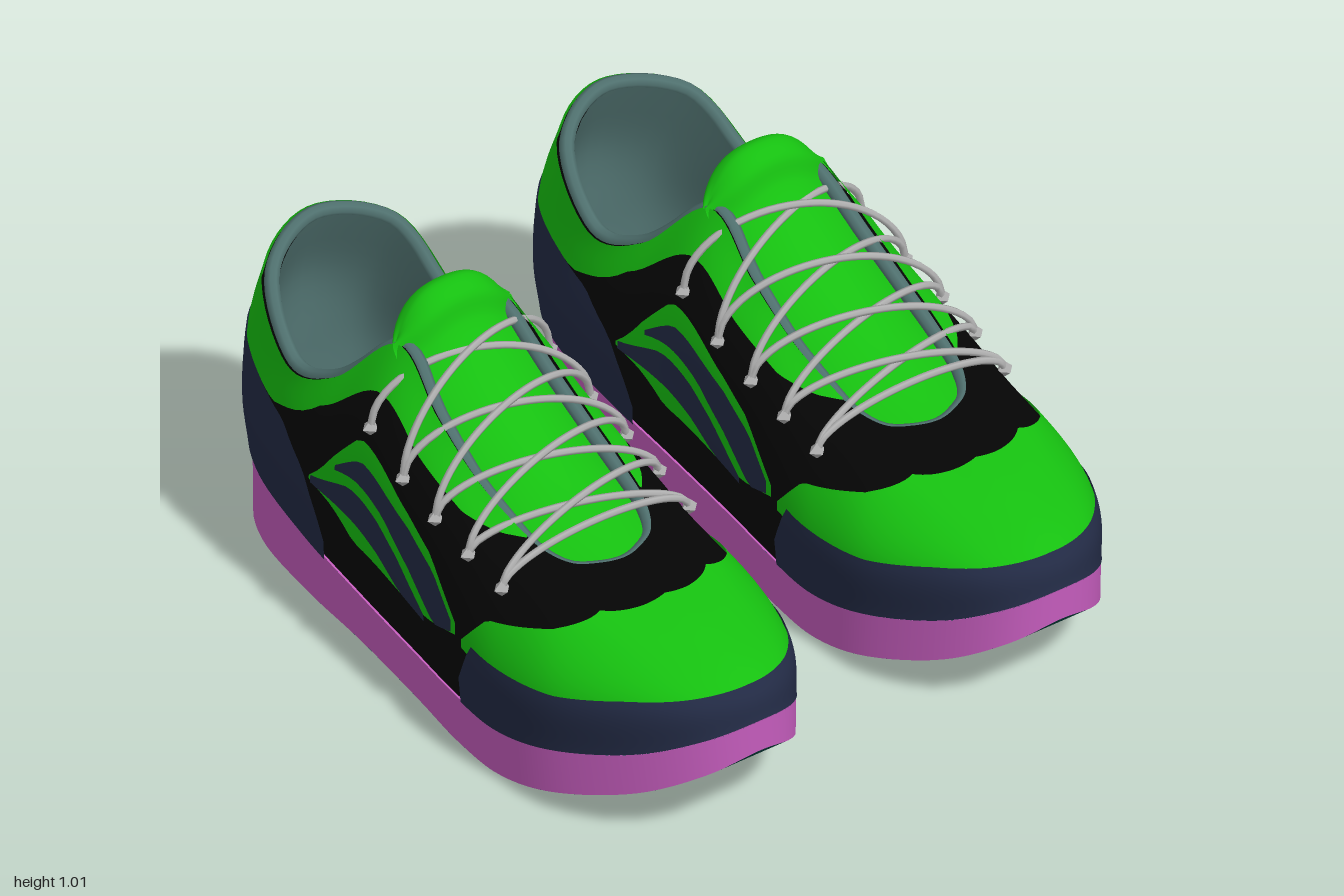
import * as THREE from 'three';

const GREEN = 0x16c010, NAVY = 0x222a44, BLACK = 0x050505, PINK = 0xc45cbc;
const TEAL = 0x0a4644, LINING = 0x4f706e, LACE = 0xb0b0b0;

// Rings of the upper, bottom to rim. Stations run from toe tip to heel: [z, half width, y]
const RINGS = [
  [[.99, 0, .36], [.945, .135, .33], [.81, .245, .265], [.6, .33, .2], [.4, .348, .155], [.2, .33, .145],
    [0, .31, .155], [-.25, .302, .19], [-.5, .295, .23], [-.75, .262, .265], [-.91, .17, .28], [-.96, 0, .285]],
  [[.965, 0, .43], [.915, .14, .42], [.79, .25, .4], [.6, .335, .37], [.39, .356, .35], [.19, .338, .36],
    [-.02, .315, .38], [-.25, .303, .42], [-.5, .3, .39], [-.76, .27, .41], [-.925, .18, .43], [-.975, 0, .44]],
  [[.78, 0, .51], [.75, .1, .505], [.66, .19, .505], [.5, .262, .515], [.33, .288, .53], [.15, .292, .58],
    [-.04, .288, .625], [-.25, .272, .7], [-.48, .285, .56], [-.7, .265, .57], [-.9, .19, .62], [-.985, 0, .65]],
  [[.46, 0, .575], [.44, .07, .575], [.4, .13, .58], [.32, .17, .605], [.2, .185, .65], [.08, .19, .7],
    [-.08, .185, .79], [-.26, .172, .9], [-.44, .24, .725], [-.62, .265, .67], [-.81, .21, .82], [-.91, 0, .87]],
];
const SOLE_BOTTOM_Y = [.27, .225, .145, .07, .02, .005, .02, .05, .06, .06, .055, .055];
const LAST = 11;

const centreX = z => .5 + .012 * z - .035 * z * z;

// Closed loop through the stations on both sides
function loop(stations) {
  const at = s => ([z, w, y]) => new THREE.Vector3(centreX(z) + s * w, y, z);
  return new THREE.CatmullRomCurve3(
    [...stations.map(at(1)), ...stations.slice(1, LAST).reverse().map(at(-1))], true, 'catmullrom', .5);
}
const LOOPS = RINGS.map(loop);
const SOLE_TOP = loop(RINGS[0].map(([z, w, y]) => [z + .008, w * 1.02, y]));
const SOLE_BOTTOM = loop(RINGS[0].map(([z, w], i) => [z + .008, w * 1.01, SOLE_BOTTOM_Y[i]]));

// Point on the upper: t around the loop, v from sole (0) to rim (1)
const skin = (t, v) =>
  new THREE.CatmullRomCurve3(LOOPS.map(c => c.getPoint(((t % 1) + 1) % 1))).getPoint(v);

function raised(t, v, offset) {
  const p = skin(t, v);
  if (!offset) return p;
  const e = .004;
  const du = skin(t + e, v).sub(skin(t - e, v));
  const dv = skin(t, Math.min(1, v + e)).sub(skin(t, Math.max(0, v - e)));
  return p.addScaledVector(du.cross(dv).normalize(), offset);
}

// Rectangular sheet of points f(u, v)
function grid(nu, nv, f) {
  const pos = [], idx = [];
  for (let i = 0; i <= nu; i++)
    for (let j = 0; j <= nv; j++) pos.push(...f(i / nu, j / nv).toArray());
  for (let i = 0; i < nu; i++)
    for (let j = 0; j < nv; j++) {
      const a = i * (nv + 1) + j, b = a + nv + 1;
      idx.push(a, b, b + 1, a, b + 1, a + 1);
    }
  const g = new THREE.BufferGeometry();
  g.setAttribute('position', new THREE.Float32BufferAttribute(pos, 3));
  g.setIndex(idx);
  g.computeVertexNormals();
  return g;
}

// Linear look-up in rows of [station, low v, high v]
function lookup(rows, k) {
  let i = 0;
  while (i < rows.length - 2 && k > rows[i + 1][0]) i++;
  const [a, b] = [rows[i], rows[i + 1]], f = (k - a[0]) / (b[0] - a[0]);
  return [1, 2].map(c => a[c] + (b[c] - a[c]) * f);
}

// Panel lying on one side of the upper
function panel(rows, side, offset) {
  const k0 = rows[0][0], k1 = rows[rows.length - 1][0];
  return grid(Math.ceil((k1 - k0) * 8), 12, (u, v) => {
    const k = side > 0 ? k0 + (k1 - k0) * u : k1 + (k0 - k1) * u;
    const [lo, hi] = lookup(rows, k);
    return raised(side > 0 ? k / 22 : 1 - k / 22, lo + (hi - lo) * v, offset);
  });
}

// Flat fill between the two sides of a loop
const fill = (curve, up) => grid(44, 8, (u, v) => {
  const t = u / 2, a = curve.getPoint(t), b = curve.getPoint((1 - t) % 1);
  return a.lerp(b, up ? v : 1 - v);
});

// Panel outlines; the navy ones lie on top of the green ones
const PANELS = [
  ['toeBox', GREEN, [[0, .3, .84], [2, .28, .79], [3, .28, .62], [4.2, .28, .5], [4.75, .28, .32]]],
  ['toeGuard', NAVY, [[0, 0, .38], [2, 0, .36], [3, 0, .33], [4.5, 0, .34], [4.85, 0, .12]]],
  ['sideWindow', GREEN, [[4.9, .31, .36], [5.5, .25, .52], [6, .22, .57], [7.1, .22, .61], [7.5, .32, .54], [7.9, .39, .41]]],
  ['upperStripe', NAVY, [[4.98, .31, .36], [5.4, .26, .47], [6, .38, .53], [6.5, .44, .53], [7, .46, .54], [7.45, .48, .5]]],
  ['lowerStripe', NAVY, [[5.65, .22, .25], [6.2, .23, .36], [6.6, .28, .4], [7.2, .32, .43], [7.85, .38, .42]]],
  ['collar', GREEN, [[3.3, .99, 1], [4, .9, 1], [5, .8, 1], [7.2, .8, 1], [8, .82, 1], [8.8, .6, 1], [11, .62, 1]]],
  ['heelCounter', NAVY, [[7.6, 0, .1], [7.75, 0, .24], [8, 0, .42], [8.5, 0, .59], [10, 0, .66], [11, 0, .66]]],
];

// Tongue centre line, folded over at the top: [z, y, half width, drop at the sides]
const TONGUE = [[.5, .55, .14, .04], [.3, .62, .19, .06], [.1, .71, .2, .09], [-.08, .82, .2, .1],
  [-.2, .93, .19, .1], [-.23, .995, .185, .07], [-.285, 1.02, .175, .05], [-.33, .99, .185, .06],
  [-.335, .93, .185, .07], [-.28, .86, .17, .08], [-.15, .77, .16, .08]];

function tongueGeometry() {
  const path = new THREE.CatmullRomCurve3(TONGUE.map(([z, y, w]) => new THREE.Vector3(w, y, z)));
  return grid(60, 20, (u, v) => {
    const p = path.getPoint(u), f = u * (TONGUE.length - 1);
    const i = Math.min(TONGUE.length - 2, Math.floor(f));
    const drop = THREE.MathUtils.lerp(TONGUE[i][3], TONGUE[i + 1][3], f - i);
    const s = 1 - 2 * v;
    // The padded tip closes towards its side edges
    const pinch = .95 * s ** 4 * THREE.MathUtils.smoothstep(-p.z, .12, .23);
    return new THREE.Vector3(centreX(p.z) + s * p.x,
      THREE.MathUtils.lerp(p.y - drop * s * s, .9, pinch), THREE.MathUtils.lerp(p.z, -.27, pinch));
  });
}

// Lace arching over the tongue between two eyelets
function laceGeometry(a, b, height) {
  const pts = [];
  for (let i = 0; i <= 10; i++) {
    const f = (1 - Math.cos(Math.PI * i / 10)) / 2;
    const p = a.clone().lerp(b, f);
    p.y += height * Math.sin(Math.PI * i / 10);
    pts.push(p);
  }
  return new THREE.TubeGeometry(new THREE.CatmullRomCurve3(pts), 30, .01, 6);
}

function createShoe(name, mirrored) {
  const shoe = new THREE.Group();
  shoe.name = name;
  const add = (part, color, geo) => {
    if (mirrored) {
      geo.scale(-1, 1, 1);
      geo.index.array.reverse();
    }
    const mesh = new THREE.Mesh(geo, new THREE.MeshStandardMaterial({ color, side: THREE.DoubleSide }));
    mesh.name = part;
    shoe.add(mesh);
  };

  // Sole
  add('midsole', PINK, grid(132, 2, (u, v) => SOLE_BOTTOM.getPoint(u % 1).lerp(SOLE_TOP.getPoint(u % 1), v)));
  add('insole', PINK, fill(SOLE_TOP, true));
  add('outsole', TEAL, fill(SOLE_BOTTOM, false));

  // Upper shell, lining and padded rim
  add('upper', BLACK, grid(176, 24, (u, v) => raised(u, v, 0)));
  add('lining', LINING, grid(110, 14, (u, v) => raised(u, v, -.04)));
  const rim = [];
  for (let i = 0; i < 66; i++) rim.push(raised(i / 66, 1, -.02));
  add('rim', LINING, new THREE.TubeGeometry(new THREE.CatmullRomCurve3(rim, true), 132, .02, 8, true));

  // Coloured panels on both sides
  for (const [part, color, rows] of PANELS)
    for (const side of [1, -1]) add(part, color, panel(rows, side, color === NAVY ? .01 : .006));

  add('tongue', GREEN, tongueGeometry());

  // Eyelets and crossed laces
  const eyelet = (row, side) => {
    const k = 3.95 + row * .74;
    return raised(side > 0 ? k / 22 : 1 - k / 22, .67, .014);
  };
  for (let row = 0; row < 5; row++)
    for (const side of [1, -1]) {
      const p = eyelet(row, side);
      const knot = new THREE.OctahedronGeometry(.024).translate(p.x, p.y, p.z);
      add('eyelet', LACE, knot.setIndex([...Array(24).keys()]));
    }
  add('lace', LACE, laceGeometry(eyelet(0, 1), eyelet(0, -1), .085));
  [.095, .13, .175, .21].forEach((h, row) => {
    for (const side of [1, -1])
      add('lace', LACE, laceGeometry(eyelet(row, side), eyelet(row + 1, -side), h + side * .008));
  });
  return shoe;
}

export function createModel() {
  const model = new THREE.Group();
  model.name = 'pairOfShoes';
  model.add(createShoe('leftShoe', false), createShoe('rightShoe', true));
  return model;
}
